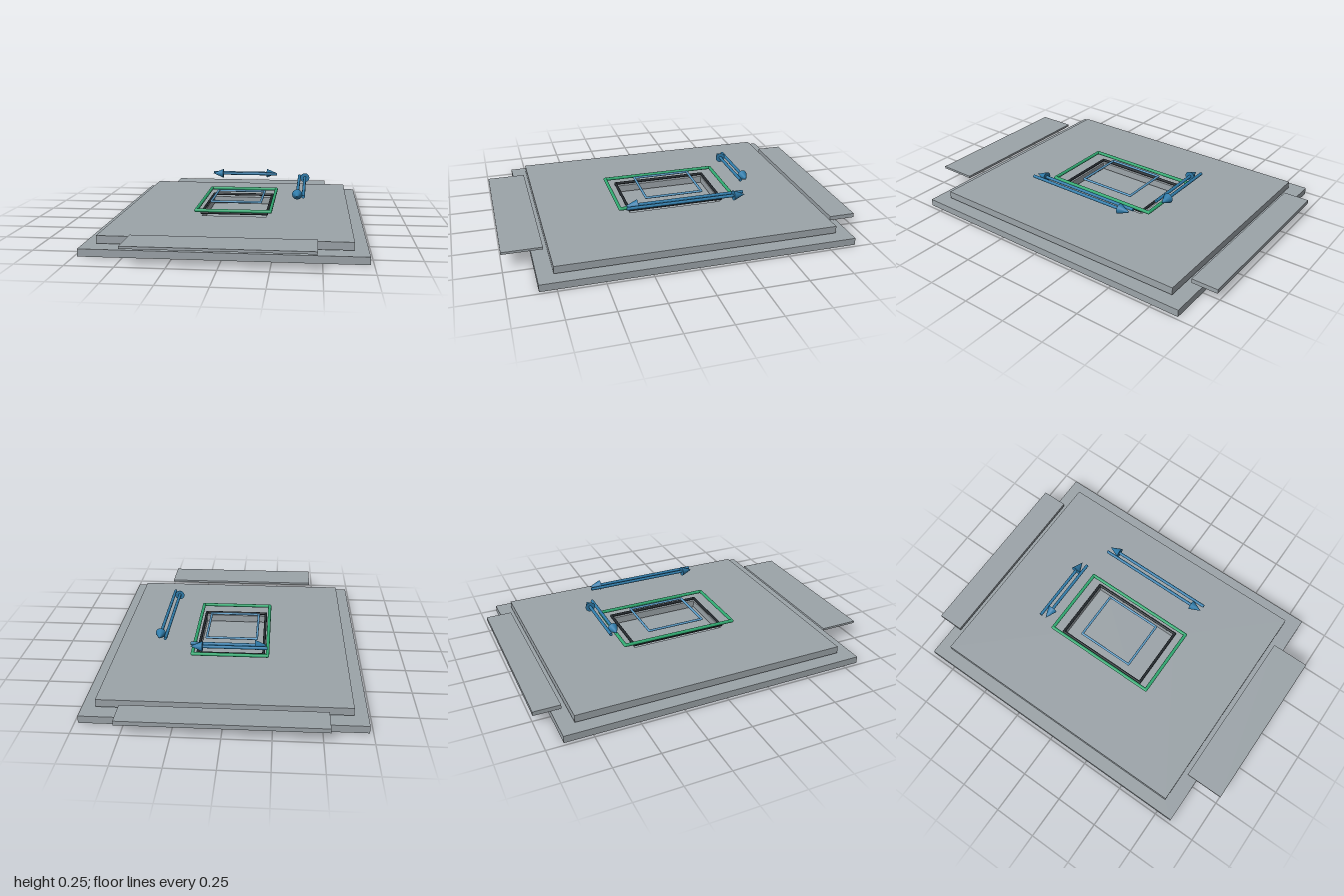
import * as THREE from 'three';

const mat = (name, color) => {
  const m = new THREE.MeshStandardMaterial({ color });
  m.name = name;
  return m;
};

export function createModel() {
  const grey = mat('plate grey', 0x9ca4a9);
  const dark = mat('charcoal', 0x22282d);
  const green = mat('frame green', 0x2fa870);
  const skyBlue = mat('frame blue', 0x5a9bc6);
  const arrowBlue = mat('arrow blue', 0x2f7ba9);
  const model = new THREE.Group();
  model.name = 'layeredPlateDiagram';

  const add = (parent, name, geometry, material) => {
    const mesh = new THREE.Mesh(geometry, material);
    mesh.name = name;
    parent.add(mesh);
    return mesh;
  };

  // Flat slab given by its limits on each axis
  const slab = (name, [x0, x1], [y0, y1], [z0, z1]) => {
    const g = new THREE.BoxGeometry(x1 - x0, y1 - y0, z1 - z0);
    g.translate((x0 + x1) / 2, (y0 + y1) / 2, (z0 + z1) / 2);
    return add(model, name, g, grey);
  };

  slab('basePlate', [-0.732, 0.732], [0, 0.04], [-0.903, 0.84]);
  slab('backTab', [-0.533, 0.53], [0.057, 0.081], [-1, -0.85]);
  slab('frontTab', [-0.475, 0.475], [0.092, 0.105], [0.78, 1]);

  // Upper plate with a rectangular opening (shape y maps to -z)
  const rect = (P, x, z0, z1) => {
    const p = new P();
    p.moveTo(-x, -z1);
    p.lineTo(x, -z1);
    p.lineTo(x, -z0);
    p.lineTo(-x, -z0);
    p.closePath();
    return p;
  };
  const outline = rect(THREE.Shape, 0.658, -0.82, 0.753);
  outline.holes.push(rect(THREE.Path, 0.185, -0.308, 0.245));
  const upper = new THREE.ExtrudeGeometry(outline, { depth: 0.042, bevelEnabled: false });
  upper.rotateX(-Math.PI / 2).translate(0, 0.047, 0);
  add(model, 'upperPlate', upper, grey);

  // Rectangular frame made of round rods with ball corners
  const rodFrame = (name, material, x, z0, z1, y, r) => {
    const frame = new THREE.Group();
    frame.name = name;
    const zMid = (z0 + z1) / 2;
    for (const s of [-1, 1]) {
      const side = add(frame, 'sideRod', new THREE.CylinderGeometry(r, r, z1 - z0, 12), material);
      side.rotation.x = Math.PI / 2;
      side.position.set(s * x, y, zMid);
      const z = s < 0 ? z0 : z1;
      const end = add(frame, 'endRod', new THREE.CylinderGeometry(r, r, 2 * x, 12), material);
      end.rotation.z = Math.PI / 2;
      end.position.set(0, y, z);
      for (const t of [-1, 1]) {
        add(frame, 'corner', new THREE.SphereGeometry(r, 12, 8), material).position.set(t * x, y, z);
      }
    }
    model.add(frame);
  };
  rodFrame('openingFrame', dark, 0.187, -0.31, 0.247, 0.107, 0.008);
  rodFrame('outerFrame', green, 0.21, -0.373, 0.307, 0.133, 0.01);
  rodFrame('innerFrame', skyBlue, 0.145, -0.2, 0.137, 0.151, 0.007);

  // Straight arrow built upward from its tail, then turned to its direction
  const arrow = (name, tail, direction, length) => {
    const g = new THREE.Group();
    g.name = name;
    const head = 0.068;
    add(g, 'shaft', new THREE.CylinderGeometry(0.009, 0.009, length - head, 16), arrowBlue)
      .position.y = (length - head) / 2;
    add(g, 'head', new THREE.ConeGeometry(0.029, head, 20), arrowBlue)
      .position.y = length - head / 2;
    g.quaternion.setFromUnitVectors(new THREE.Vector3(0, 1, 0), new THREE.Vector3(...direction));
    g.position.set(...tail);
    model.add(g);
  };
  const y = 0.223;
  arrow('arrowLeft', [-0.21, y, -0.455], [1, 0, 0], 0.42);
  arrow('arrowRight', [0.21, y, -0.42], [-1, 0, 0], 0.42);
  arrow('arrowFront', [0.358, y, -0.373], [0, 0, 1], 0.683);
  arrow('arrowBack', [0.393, y, 0.31], [0, 0, -1], 0.683);

  return model;
}
